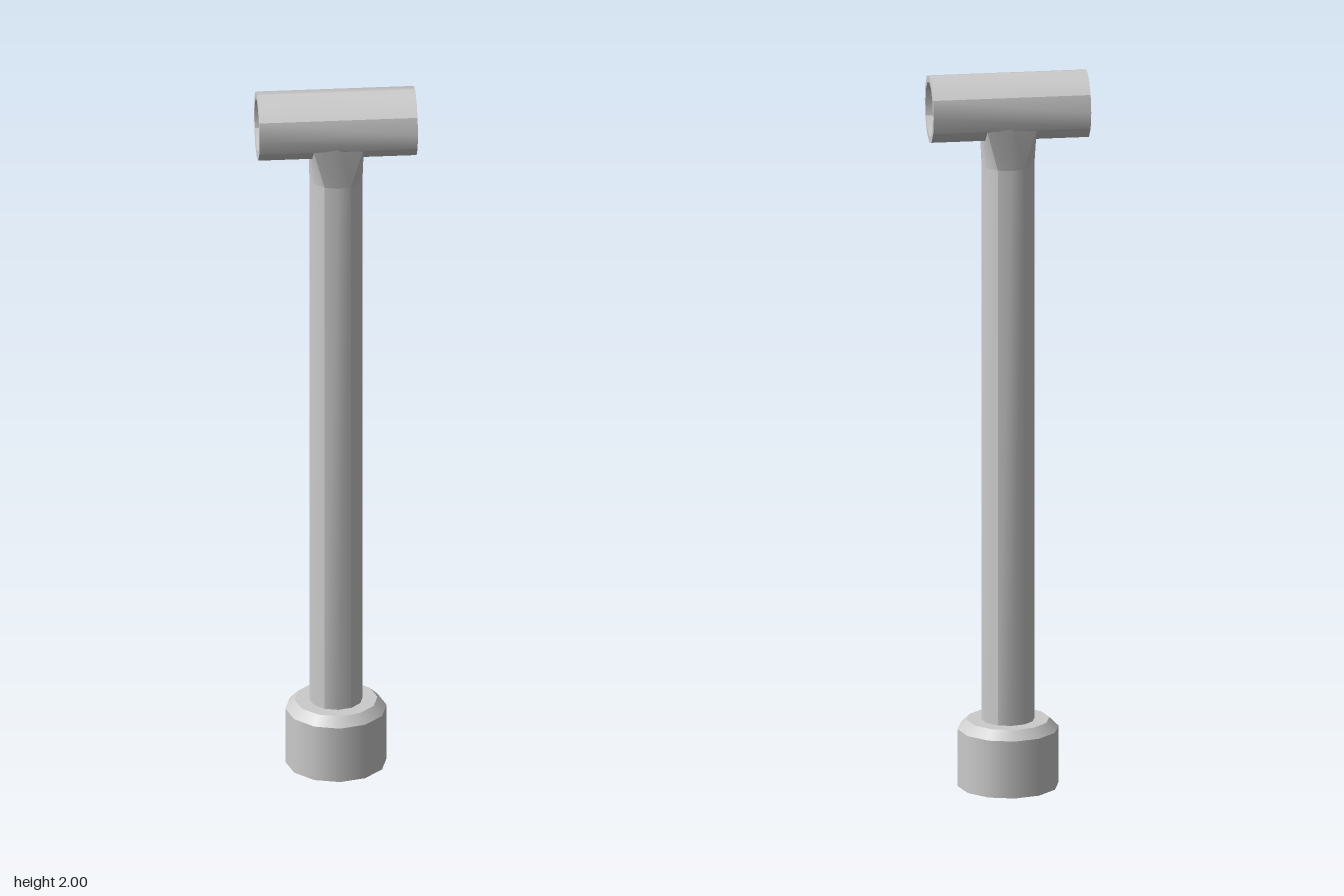
import * as THREE from 'three';
import { mergeGeometries } from 'three/addons/utils/BufferGeometryUtils.js';

const SIDES = 12, R_POLE = 0.072, R_TUBE = 0.0935, R_BORE = 0.075, TUBE_Y = 2 - R_TUBE, NECK_Y = 1.745;

const grey = (side = THREE.FrontSide) => new THREE.MeshStandardMaterial({ color: 0xcccccc, side });

function part(name, geometry, side) {
  const mesh = new THREE.Mesh(geometry, grey(side));
  mesh.name = name;
  return mesh;
}

// Open twelve-sided wall made of six creased panels, two facets each
function panelWall(radius, height) {
  const panels = [];
  for (let k = 0; k < 6; k++) {
    const g = new THREE.CylinderGeometry(radius, radius, height, 2, 1, true, Math.PI / 6 + k * Math.PI / 3, Math.PI / 3);
    g.computeVertexNormals();
    panels.push(g);
  }
  return mergeGeometries(panels);
}

// Flared neck: the pole section widens into a saddle just inside the tube wall
function neckGeometry() {
  const top = [[0, 0.084], [0.07, 0.081], [0.071, 0.042], [0.072, 0]];
  const panels = [];
  for (let k = 0; k < 6; k++) {
    const pos = [];
    for (let j = 0; j < 3; j++) {
      const i = (1 + 2 * k + j) % SIDES;
      const a = i * Math.PI / 6;
      const s = Math.sin(a), c = Math.cos(a);
      const fold = i % 6 <= 3 ? i % 6 : 6 - i % 6;
      const q = Math.floor(i / 6) % 2 ? 3 - Math.abs(3 - (i - 6)) : 3 - Math.abs(3 - i);
      const [x, z] = top[Math.min(fold, q)];
      const tx = x * Math.sign(Math.round(s * 100)), tz = z * Math.sign(Math.round(c * 100));
      pos.push(s * R_POLE, NECK_Y, c * R_POLE);
      pos.push(tx, TUBE_Y - Math.sqrt(0.088 ** 2 - tz ** 2), tz);
    }
    const g = new THREE.BufferGeometry();
    g.setAttribute('position', new THREE.Float32BufferAttribute(pos, 3));
    g.setIndex([0, 2, 1, 2, 3, 1, 2, 4, 3, 4, 5, 3]);
    g.computeVertexNormals();
    panels.push(g);
  }
  return mergeGeometries(panels);
}

export function createModel() {
  const group = new THREE.Group();

  // Foot: round block with a chamfered top edge
  const foot = new THREE.Group();
  foot.name = 'foot';
  const wall = part('footWall', new THREE.CylinderGeometry(0.137, 0.137, 0.16, SIDES, 1, true));
  wall.position.y = 0.08;
  const chamfer = part('footChamfer', new THREE.CylinderGeometry(0.112, 0.137, 0.025, SIDES, 1, true));
  chamfer.position.y = 0.1725;
  const footTop = part('footTop', new THREE.CircleGeometry(0.112, SIDES).rotateX(-Math.PI / 2));
  footTop.position.y = 0.185;
  const footBottom = part('footBottom', new THREE.CircleGeometry(0.137, SIDES).rotateX(Math.PI / 2));
  foot.add(wall, chamfer, footTop, footBottom);
  group.add(foot);

  // Pole
  const pole = part('pole', panelWall(R_POLE, NECK_Y - 0.18));
  pole.position.y = (NECK_Y + 0.18) / 2;
  group.add(pole, part('neck', neckGeometry()));

  // Hollow cross tube with ring-shaped ends
  const tube = new THREE.Group();
  tube.name = 'crossTube';
  tube.position.y = TUBE_Y;
  const length = 0.428;
  tube.add(part('tubeWall', panelWall(R_TUBE, length).rotateZ(Math.PI / 2)));
  tube.add(part('tubeBore', panelWall(R_BORE, length).rotateZ(Math.PI / 2), THREE.BackSide));
  for (const s of [1, -1]) {
    const rim = part('tubeRim', new THREE.RingGeometry(R_BORE, R_TUBE, SIDES).rotateY(s * Math.PI / 2));
    rim.position.x = s * length / 2;
    tube.add(rim);
  }
  group.add(tube);
  return group;
}
